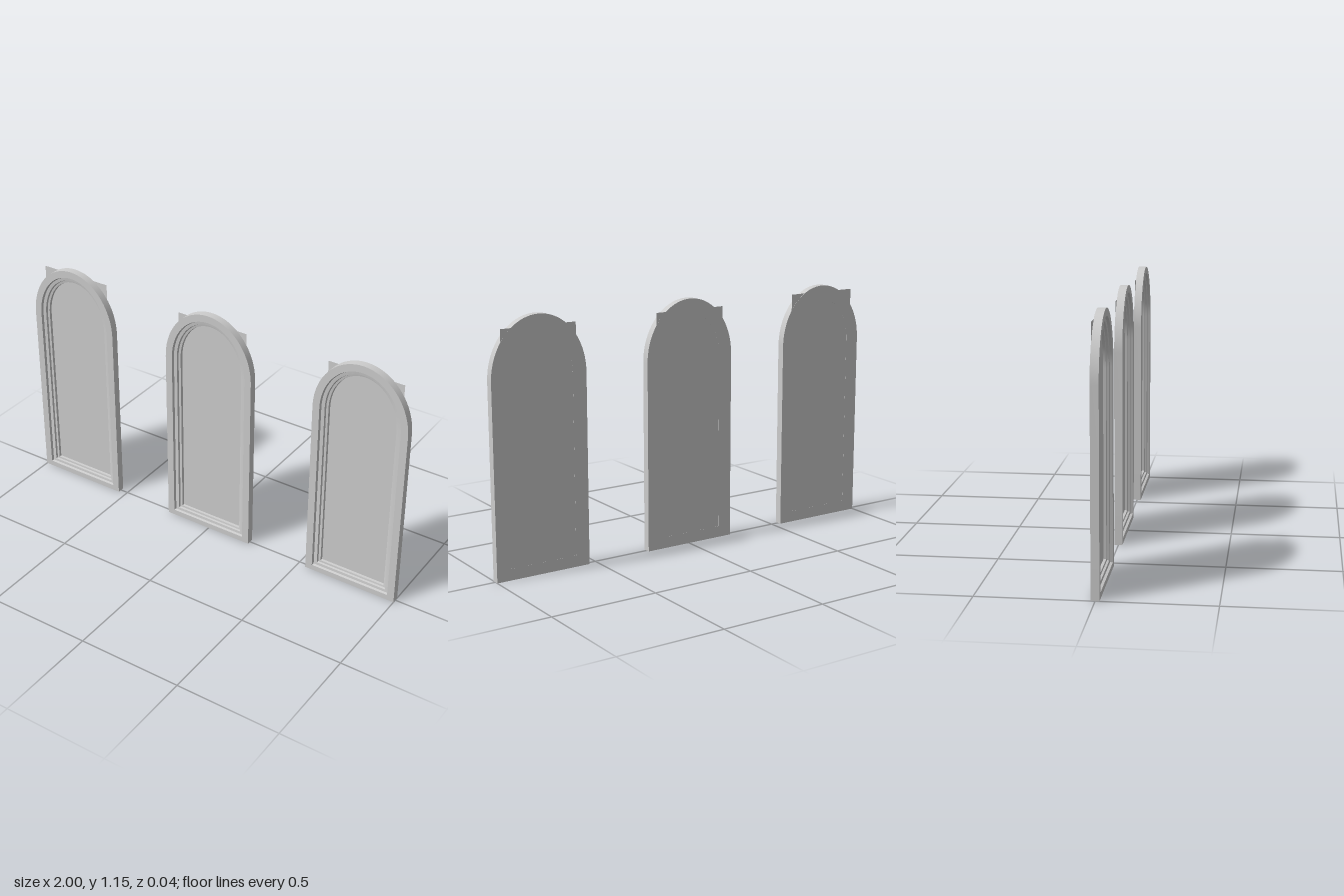
import * as THREE from 'three';
import { toCreasedNormals } from 'three/addons/utils/BufferGeometryUtils.js';

const HALF_W = 0.23, SPRING = 0.88, RISE = 0.275, BACK = -0.018, FRONT = 0.018;
const ARC_STEPS = 40;

// Moulding section: [inset from the outer edge, z], from outer back round to inner back
const SECTION = [
  [0, BACK], [0, FRONT], [0.034, FRONT], [0.038, 0.007], [0.053, 0.005],
  [0.056, -0.004], [0.066, -0.006], [0.068, BACK],
];

// Arched outline inset by a distance, counter-clockwise seen from the front
function outline(inset) {
  const w = HALF_W - inset, bottom = inset * 0.78;
  const points = [[-w, bottom], [w, bottom]];
  for (let i = 0; i <= ARC_STEPS; i++) {
    const a = (Math.PI * i) / ARC_STEPS;
    points.push([w * Math.cos(a), SPRING + (RISE - inset) * Math.sin(a)]);
  }
  return points;
}

// Sweep the moulding section round the arch
function frameGeometry() {
  const loops = SECTION.map(([inset, z]) => outline(inset).map(([x, y]) => [x, y, z]));
  const count = loops[0].length;
  const positions = [];
  loops.forEach((loop, j) => {
    const next = loops[(j + 1) % loops.length];
    for (let i = 0; i < count; i++) {
      const k = (i + 1) % count;
      const a = loop[i], b = loop[k], c = next[k], d = next[i];
      positions.push(...a, ...b, ...c, ...a, ...c, ...d);
    }
  });
  const geometry = new THREE.BufferGeometry();
  geometry.setAttribute('position', new THREE.Float32BufferAttribute(positions, 3));
  return toCreasedNormals(geometry, Math.PI / 7);
}

export function createModel() {
  const model = new THREE.Group();
  model.name = 'archedWindows';
  const frameMaterial = new THREE.MeshStandardMaterial({ color: 0xcccccc });
  const paneMaterial = new THREE.MeshStandardMaterial({ color: 0xcccccc, side: THREE.DoubleSide });
  const frame = frameGeometry();

  // Each window: centre x and the top of its backing pane
  const windows = [
    { name: 'rightWindow', x: -0.77, paneTop: 1.125 },
    { name: 'middleWindow', x: -0.005, paneTop: 1.105 },
    { name: 'leftWindow', x: 0.77, paneTop: 1.105 },
  ];
  for (const { name, x, paneTop } of windows) {
    const group = new THREE.Group();
    group.name = name;
    group.position.x = x;

    const frameMesh = new THREE.Mesh(frame, frameMaterial);
    frameMesh.name = 'frame';

    // Flat rectangular pane, its square corners showing behind the arch
    const paneBottom = 0.035;
    const pane = new THREE.Mesh(new THREE.PlaneGeometry(0.362, paneTop - paneBottom), paneMaterial);
    pane.name = 'pane';
    pane.position.set(0, (paneTop + paneBottom) / 2, BACK + 0.0006);

    group.add(frameMesh, pane);
    model.add(group);
  }
  return model;
}
